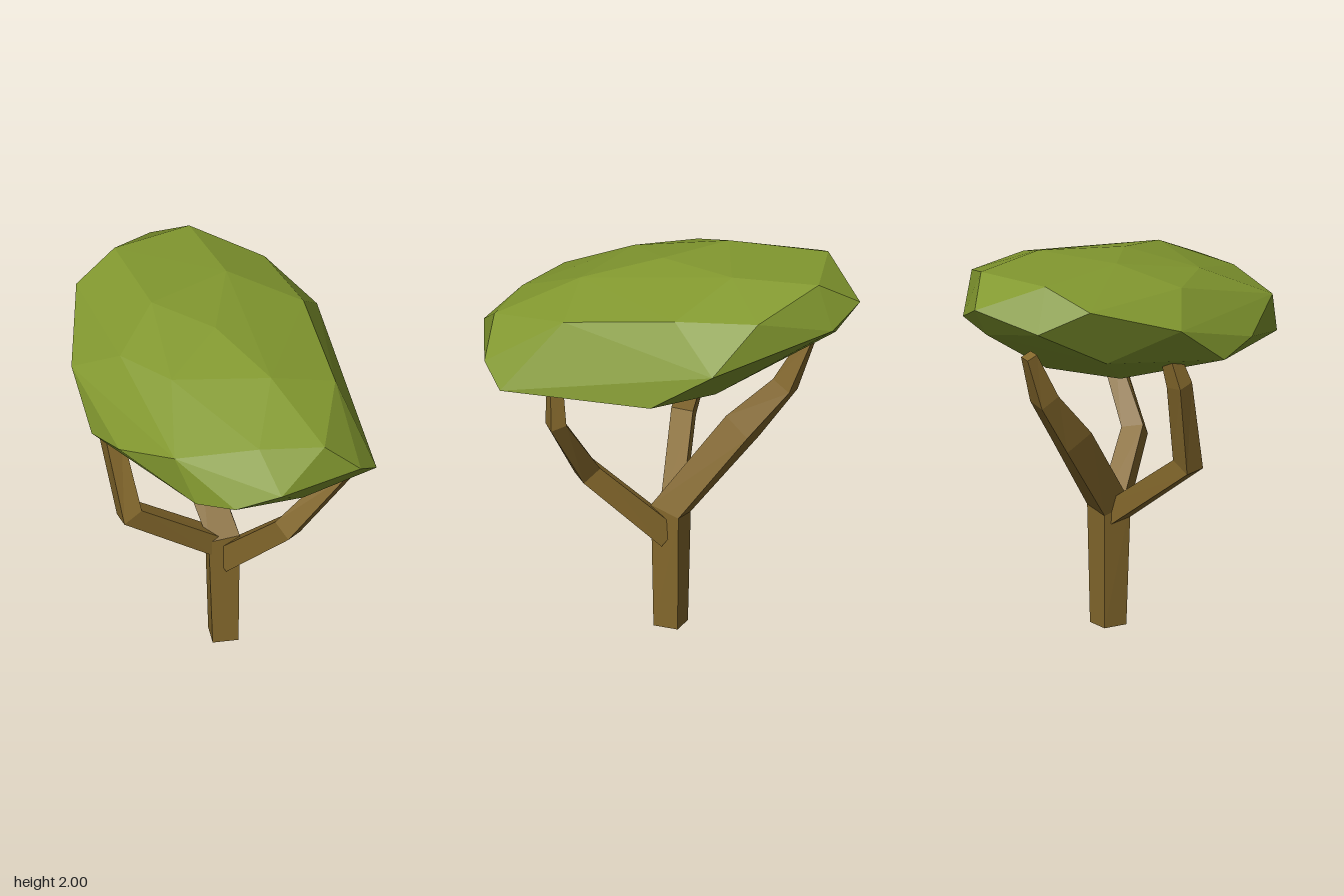
import * as THREE from 'three';
import { ConvexGeometry } from 'three/addons/geometries/ConvexGeometry.js';

const bark = new THREE.MeshStandardMaterial({ color: 0x84682c, flatShading: true });
const leaf = new THREE.MeshStandardMaterial({ color: 0x82982f, flatShading: true });

// Tapered four-sided limb through nodes [x, y, z, half width]; ref sets its twist
function limb(name, nodes, ref) {
  const pts = nodes.map(n => new THREE.Vector3(n[0], n[1], n[2]));
  const last = pts.length - 1;
  const rings = pts.map((p, i) => {
    const dir = (a, b) => pts[b].clone().sub(pts[a]).normalize();
    const t = new THREE.Vector3();
    if (i > 0) t.add(dir(i - 1, i));
    if (i < last) t.add(dir(i, i + 1));
    t.normalize();
    const u = new THREE.Vector3(...ref).cross(t).normalize();
    const v = t.clone().cross(u);
    const r = nodes[i][3];
    return [[1, 1], [-1, 1], [-1, -1], [1, -1]].map(([a, b]) =>
      p.clone().addScaledVector(u, a * r).addScaledVector(v, b * r));
  });
  const out = [];
  const quad = (a, b, c, d) => [a, b, c, a, c, d].forEach(p => out.push(p));
  for (let i = 0; i < last; i++) {
    for (let k = 0; k < 4; k++) {
      const m = (k + 1) % 4;
      quad(rings[i][k], rings[i][m], rings[i + 1][m], rings[i + 1][k]);
    }
  }
  const [a, b, c, d] = rings[0];
  quad(d, c, b, a);
  quad(...rings[last]);
  const geometry = new THREE.BufferGeometry().setFromPoints(out);
  geometry.computeVertexNormals();
  const mesh = new THREE.Mesh(geometry, bark);
  mesh.name = name;
  return mesh;
}

export function createModel() {
  const tree = new THREE.Group();
  tree.name = 'tree';

  // Trunk, bending into the thick rear branch
  tree.add(limb('trunkAndBackBranch', [
    [0.045, 0, 0, 0.066], [0.04, 0.63, 0, 0.08], [-0.025, 1.08, -0.355, 0.08],
    [-0.04, 1.32, -0.57, 0.055], [-0.04, 1.57, -0.685, 0.03],
  ], [0.24, 0, -0.97]));

  // Side branches
  tree.add(limb('rightBranch', [
    [0.02, 0.58, 0, 0.055], [-0.48, 0.935, 0.02, 0.056],
    [-0.535, 1.39, -0.105, 0.046], [-0.5, 1.55, -0.14, 0.035],
  ], [0, 0, -1]));
  tree.add(limb('frontBranch', [
    [0.06, 0.5, 0.02, 0.062], [0.225, 0.89, 0.395, 0.056],
    [0.505, 1.26, 0.51, 0.042], [0.5, 1.45, 0.515, 0.034],
  ], [1, 0, -0.5]));

  // Canopy: faceted leaf mass, sloping down to the front
  const top = [
    [0.2, 1.985, -0.78], [-0.22, 1.985, -0.76], [0.21, 2, -0.34],
    [-0.24, 2, -0.25], [-0.02, 1.98, 0.05], [-0.35, 1.89, 0.25],
    [0.11, 1.9, 0.45], [0.45, 1.8, 0.48], [0.53, 1.88, -0.1],
    [0.5, 1.88, -0.52], [-0.5, 1.88, -0.05], [-0.46, 1.88, -0.69],
    [0.22, 1.72, 0.87], [-0.1, 1.74, 0.78], [-0.5, 1.7, 0.63],
  ];
  const rim = [
    [0.07, 1.85, -0.97], [0.25, 1.76, -0.86], [0.7, 1.66, -0.32],
    [0.68, 1.46, 0], [0.54, 1.44, 0.79], [0.41, 1.54, 0.89],
    [-0.06, 1.56, 0.97], [-0.28, 1.49, 0.89], [-0.43, 1.47, 0.74],
    [-0.66, 1.58, 0.3], [-0.7, 1.52, 0.05], [-0.68, 1.73, -0.25],
    [-0.26, 1.76, -0.86],
  ];
  const underside = [
    [-0.18, 1.34, 0.6], [0.23, 1.36, -0.26], [-0.22, 1.38, -0.2],
    [0.1, 1.44, 0.87], [0.1, 1.69, -0.85], [-0.4, 1.56, -0.5],
  ];
  const canopy = new THREE.Mesh(
    new ConvexGeometry([...top, ...rim, ...underside].map(p => new THREE.Vector3(...p))), leaf);
  canopy.name = 'canopy';
  tree.add(canopy);
  return tree;
}
